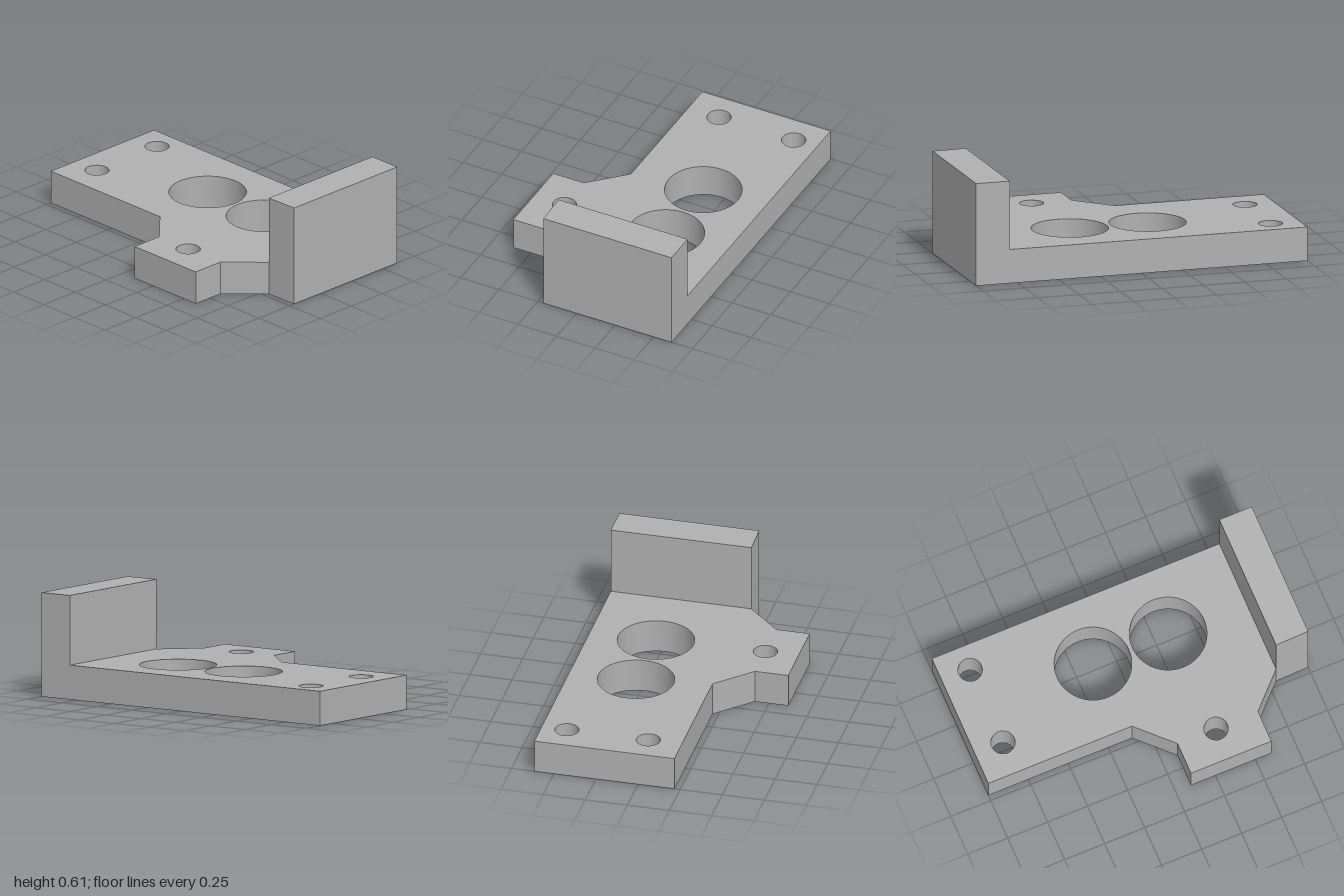
import * as THREE from 'three';
import { toCreasedNormals } from 'three/addons/utils/BufferGeometryUtils.js';

// Plan outline in (x, z) pairs with round holes (x, z, r), raised from y0 by height
function slab(name, outline, holes, y0, height, material) {
  const shape = new THREE.Shape(outline.map(([x, z]) => new THREE.Vector2(x, -z)));
  for (const [x, z, r] of holes) {
    shape.holes.push(new THREE.Path().absarc(x, -z, r, 0, Math.PI * 2, true));
  }
  const extruded = new THREE.ExtrudeGeometry(shape, {
    depth: height, bevelEnabled: false, curveSegments: 48,
  });
  extruded.rotateX(-Math.PI / 2);
  const mesh = new THREE.Mesh(toCreasedNormals(extruded, 0.5), material);
  mesh.name = name;
  mesh.position.y = y0;
  return mesh;
}

export function createModel() {
  const metal = new THREE.MeshStandardMaterial({ color: 0xb0b0b0 });
  metal.name = 'grey metal';

  const right = 0.615;
  const thickness = 0.2;
  const height = 0.605;

  // Base plate with the side ear
  const plateOutline = [
    [-0.214, 1], [right, 1], [right, -1], [-0.216, -1], [-0.216, -0.103],
    [-0.417, 0.097], [-0.615, 0.097], [-0.615, 0.6], [-0.417, 0.6], [-0.22, 0.797],
  ];
  const holes = [
    // Large bores
    [0.224, -0.159, 0.223], [0.224, 0.311, 0.223],
    // Bolt holes
    [-0.017, -0.824, 0.07], [0.466, -0.824, 0.07], [-0.419, 0.337, 0.07],
  ];

  // Upright flange along the front edge
  const flangeOutline = [[-0.214, 1], [right, 1], [right, 0.797], [-0.22, 0.797]];

  const group = new THREE.Group();
  group.name = 'mountingBracket';
  group.add(
    slab('basePlate', plateOutline, holes, 0, thickness, metal),
    slab('frontFlange', flangeOutline, [], thickness, height - thickness, metal),
  );
  return group;
}
